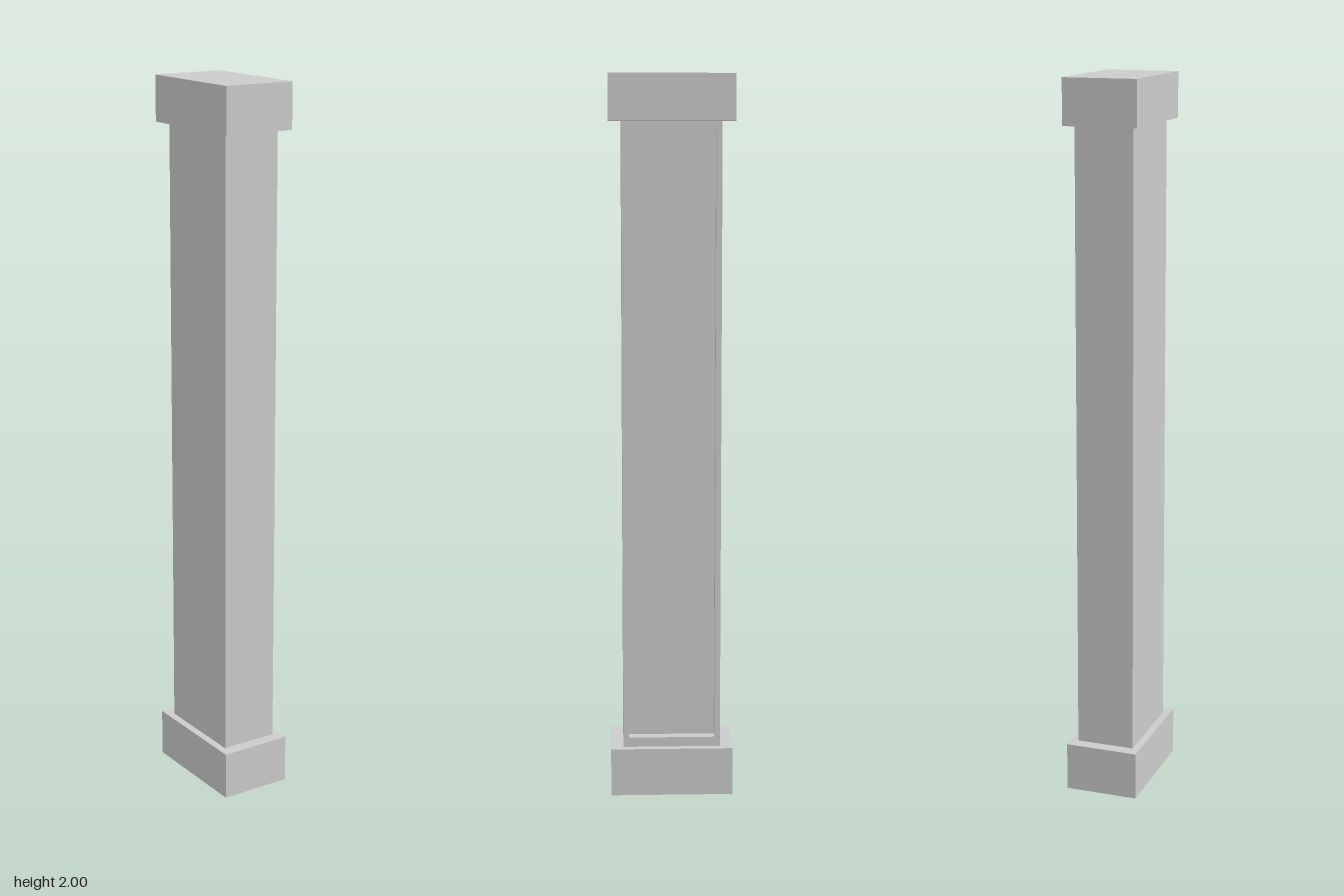
import * as THREE from 'three';

const material = new THREE.MeshStandardMaterial({ color: 0xcccccc, flatShading: true });

function add(group, name, geometry, x = 0, y = 0, z = 0) {
  const mesh = new THREE.Mesh(geometry, material);
  mesh.name = name;
  mesh.position.set(x, y, z);
  group.add(mesh);
}

function block(group, name, halfX, halfZ, y0, y1) {
  add(group, name, new THREE.BoxGeometry(halfX * 2, y1 - y0, halfZ * 2), 0, (y0 + y1) / 2);
}

// Counter-clockwise corners of an upright rectangle centred on x = 0
function rectangle(half, y0, y1) {
  return [[-half, y0], [half, y0], [half, y1], [-half, y1]].map(([x, y]) => new THREE.Vector2(x, y));
}

export function createModel() {
  const pillar = new THREE.Group();
  pillar.name = 'pillar';

  const shaftX = 0.082, shaftZ = 0.136, recess = 0.03;
  const bottom = 0.135, top = 1.875;

  // Plinth and capital
  block(pillar, 'base', 0.103, 0.171, 0, bottom);
  block(pillar, 'capital', 0.103, 0.171, top, 2);

  // Shaft body, its +x face forming the sunken panel
  add(pillar, 'shaft', new THREE.BoxGeometry(shaftX * 2 - recess, top - bottom, shaftZ * 2),
    -recess / 2, (bottom + top) / 2);

  // Raised border around the panel on the +x side
  const border = new THREE.Shape(rectangle(shaftZ, bottom, top));
  border.holes.push(new THREE.Path(rectangle(0.12, 0.162, 1.852).reverse()));
  const frame = new THREE.ExtrudeGeometry(border, { depth: recess, bevelEnabled: false });
  frame.rotateY(Math.PI / 2);
  add(pillar, 'panelFrame', frame, shaftX - recess);

  return pillar;
}
